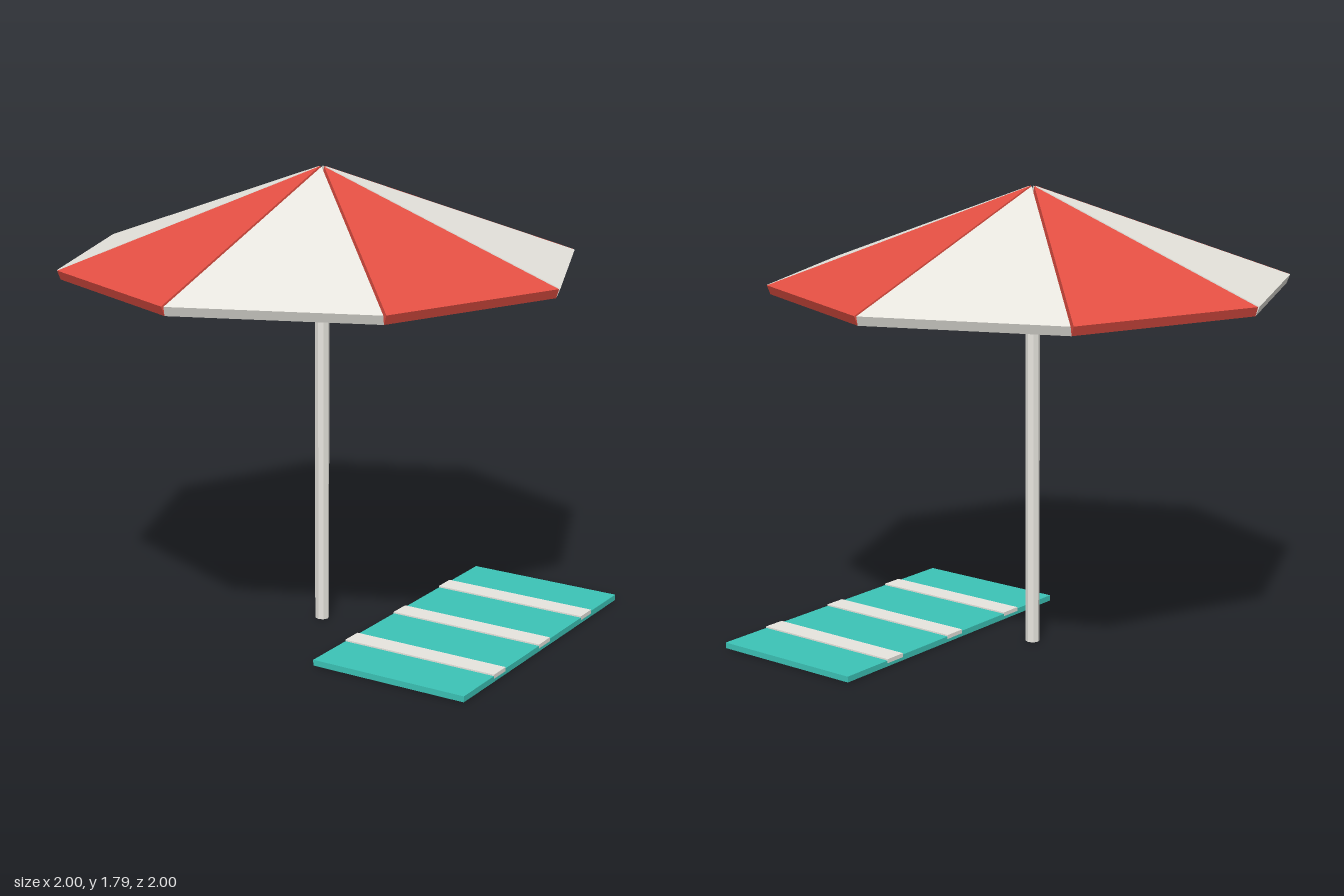
import * as THREE from 'three';

const material = (name, color) => {
  const m = new THREE.MeshStandardMaterial({ color });
  m.name = name;
  return m;
};

// Flat-faced wedge: a triangle thickened along its own normal
function thickTriangle(a, b, c, thickness) {
  const normal = new THREE.Triangle(a, b, c).getNormal(new THREE.Vector3());
  const bottom = [a, b, c];
  const top = bottom.map(p => p.clone().addScaledVector(normal, thickness));
  const points = [...top, bottom[0], bottom[2], bottom[1]];
  for (let i = 0; i < 3; i++) {
    const j = (i + 1) % 3;
    points.push(bottom[i], bottom[j], top[j], bottom[i], top[j], top[i]);
  }
  const geometry = new THREE.BufferGeometry().setFromPoints(points);
  geometry.computeVertexNormals();
  return geometry;
}

export function createModel() {
  const red = material('canopy red', 0xe34f43);
  const cream = material('cream', 0xebe9e2);
  const teal = material('towel teal', 0x3cc4b7);
  const model = new THREE.Group();
  model.name = 'parasolAndTowel';

  const add = (parent, name, geometry, mat, x = 0, y = 0, z = 0) => {
    const mesh = new THREE.Mesh(geometry, mat);
    mesh.name = name;
    mesh.position.set(x, y, z);
    parent.add(mesh);
    return mesh;
  };

  // Pole, ending just under the canopy peak
  const poleGeometry = new THREE.CylinderGeometry(0.028, 0.028, 1.64, 8).toNonIndexed();
  poleGeometry.computeVertexNormals();
  add(model, 'pole', poleGeometry, cream, 0, 0.82, 0);

  // Canopy: eight alternating panels, open below, with fine grooves between them
  const canopy = new THREE.Group();
  canopy.name = 'canopy';
  model.add(canopy);
  const rim = i => {
    const angle = i * Math.PI / 4;
    return new THREE.Vector3(0.987 * Math.sin(angle), 1.402, 0.987 * Math.cos(angle));
  };
  for (let i = 0; i < 8; i++) {
    const apex = new THREE.Vector3(0, 1.757, 0);
    add(canopy, 'canopyPanel', thickTriangle(apex, rim(i), rim(i + 1), 0.0375), i % 2 ? red : cream);
  }

  // Beach towel with three raised stripes
  const towel = new THREE.Group();
  towel.name = 'towel';
  towel.position.set(0.57, 0, -0.178);
  model.add(towel);
  add(towel, 'towelCloth', new THREE.BoxGeometry(0.64, 0.023, 1.25), teal, 0, 0.0125, 0);
  for (const z of [-0.357, 0, 0.357]) {
    add(towel, 'towelStripe', new THREE.BoxGeometry(0.642, 0.016, 0.088), cream, 0, 0.022, z);
  }

  return model;
}
